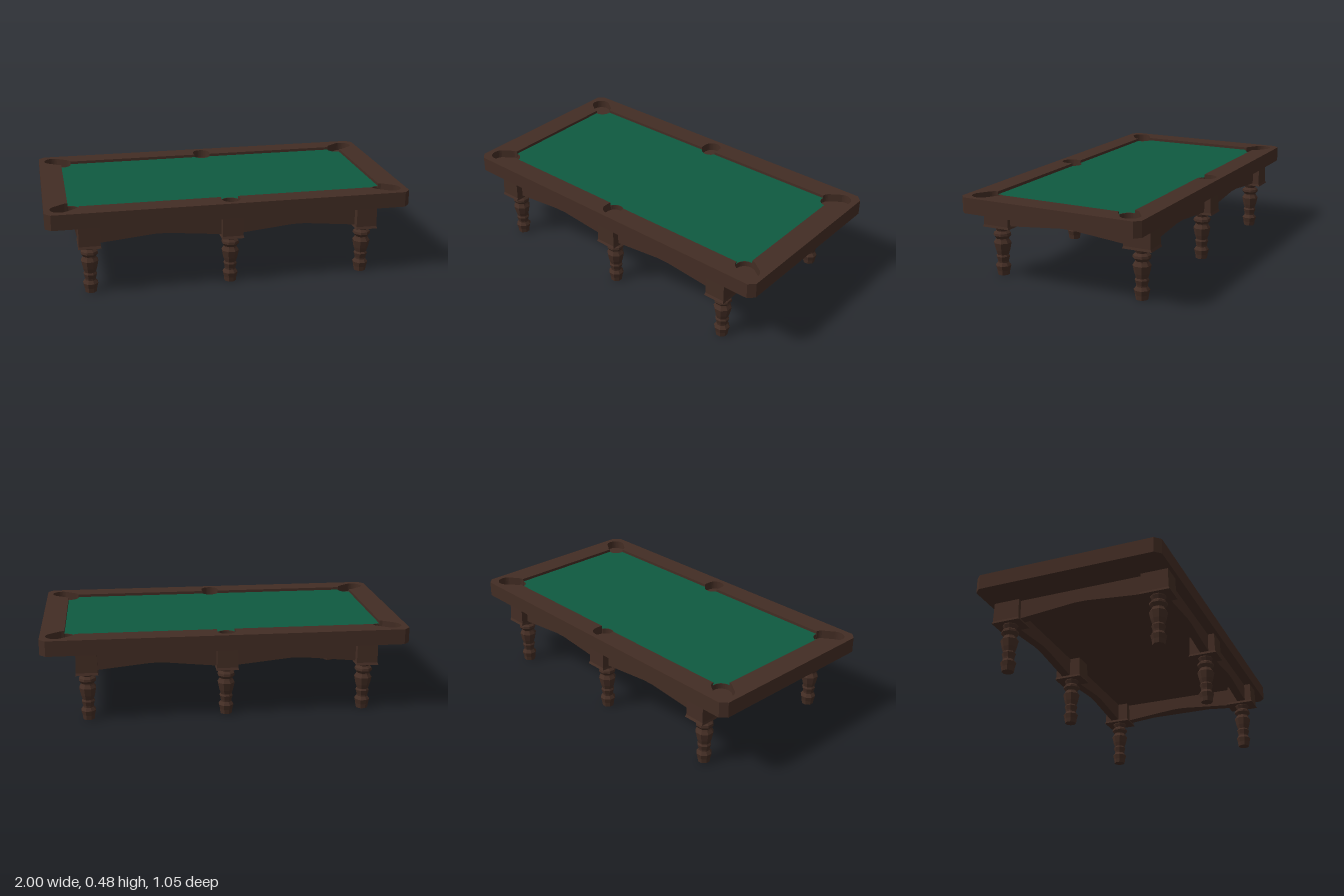
import * as THREE from 'three';

const wood = new THREE.MeshStandardMaterial({ color: 0x432d24 });
wood.name = 'dark wood';
const felt = new THREE.MeshStandardMaterial({ color: 0x0f5a40 });
felt.name = 'green felt';

const FIELD_X = 0.871, FIELD_Z = 0.409;
const LEG_X = [-0.772, 0, 0.757], LEG_Z = [0.432, -0.42];

// Extrudes a plan outline upward from y0 to y1
function slab(shape, y0, y1) {
  const g = new THREE.ExtrudeGeometry(shape, { depth: y1 - y0, bevelEnabled: false });
  return g.rotateX(-Math.PI / 2).translate(0, y0, 0);
}

function faceted(geometry) {
  const g = geometry.index ? geometry.toNonIndexed() : geometry;
  g.computeVertexNormals();
  return g;
}

// Counterclockwise capsule outline between two circle centres (b is the outer one)
function capsule(a, b, r) {
  const dir = Math.atan2(b.y - a.y, b.x - a.x), pts = [], n = 36;
  for (let i = 0; i <= n; i++) {
    const t = dir + Math.PI + (i / n) * Math.PI * 2;
    const c = Math.cos(t - dir) > 0 ? b : a;
    pts.push(new THREE.Vector2(c.x + r * Math.cos(t), c.y + r * Math.sin(t)));
  }
  return pts;
}

// The six pockets, counterclockwise from the +x +y corner
function pockets() {
  const V = (x, y) => new THREE.Vector2(x, y);
  const corner = (sx, sy) => capsule(V(0.865 * sx, 0.402 * sy), V(0.915 * sx, 0.437 * sy), 0.053);
  const side = (sy) => capsule(V(0, 0.432 * sy), V(0, 0.448 * sy), 0.051);
  return [corner(1, 1), side(1), corner(-1, 1), corner(-1, -1), side(-1), corner(1, -1)];
}

const isOutside = (p) => Math.abs(p.x) > FIELD_X || Math.abs(p.y) > FIELD_Z;

// Moves the end of a pocket arc onto the edge of the playing field
function snap(p) {
  if (Math.abs(p.x) > FIELD_X - 0.015) p.x = Math.sign(p.x) * FIELD_X;
  else p.y = Math.sign(p.y) * FIELD_Z;
}

// Playing field outline, either widened or notched by the pockets
function fieldOutline(widened) {
  const out = [];
  for (const loop of pockets()) {
    let run = loop.filter(isOutside);
    const first = run[0], last = run[run.length - 1];
    for (const p of [first, last]) {
      if (Math.abs(p.x) > FIELD_X && Math.abs(p.y) <= FIELD_Z) p.x = Math.sign(p.x) * FIELD_X;
      else snap(p);
    }
    if (!widened) {
      // the inner arc is walked backward
      const i0 = loop.indexOf(first), i1 = loop.indexOf(last);
      const head = loop.slice(0, i0 + 1).reverse();
      const tail = loop.slice(i1, loop.length - 1).reverse();
      run = [...head, ...tail];
    }
    out.push(...run);
  }
  return out;
}

// Rectangle with cut corners
function tableOutline() {
  const s = new THREE.Shape(), X = 1, Z = 0.527, c = 0.033;
  [[X, c - Z], [X, Z - c], [X - c, Z], [c - X, Z], [-X, Z - c], [-X, c - Z], [c - X, -Z], [X - c, -Z]]
    .forEach(([x, y], i) => (i ? s.lineTo(x, y) : s.moveTo(x, y)));
  return s;
}

// Square block above each leg, flared at the foot
function blockGeometry() {
  const g = new THREE.BoxGeometry(2, 2, 2, 1, 2, 1), p = g.attributes.position;
  const levels = [[0.275, 0.061, 0.083], [0.288, 0.058, 0.077], [0.4, 0.056, 0.074]];
  for (let i = 0; i < p.count; i++) {
    const [y, hx, hz] = levels[Math.round(p.getY(i)) + 1];
    p.setXYZ(i, p.getX(i) * hx, y, p.getZ(i) * hz);
  }
  return faceted(g);
}

// Turned leg with eight sides
function legGeometry() {
  const profile = [[0, 0], [0.033, 0], [0.036, 0.025], [0.043, 0.052], [0.03, 0.07], [0.031, 0.08],
    [0.038, 0.105], [0.032, 0.115], [0.04, 0.14], [0.049, 0.183], [0.038, 0.2], [0.035, 0.207],
    [0.049, 0.225], [0.047, 0.238], [0.032, 0.25], [0.042, 0.27], [0.042, 0.285]];
  const g = new THREE.LatheGeometry(profile.map(([x, y]) => new THREE.Vector2(x, y)), 8);
  return faceted(g.rotateY(Math.PI / 8));
}

// Apron board with a shallow peaked arch along its lower edge
function apronGeometry(length) {
  const h = length / 2, s = new THREE.Shape();
  s.moveTo(-h, 0.4);
  s.lineTo(-h, 0.288);
  s.lineTo(-0.035, 0.319);
  s.lineTo(0.035, 0.319);
  s.lineTo(h, 0.288);
  s.lineTo(h, 0.4);
  return new THREE.ExtrudeGeometry(s, { depth: 0.05, bevelEnabled: false }).translate(0, 0, -0.025);
}

export function createModel() {
  const model = new THREE.Group();
  model.name = 'billiardTable';
  const add = (name, geometry, material, x = 0, z = 0, turn = 0) => {
    const m = new THREE.Mesh(geometry, material);
    m.name = name;
    m.position.set(x, 0, z);
    m.rotation.y = turn;
    model.add(m);
  };

  // Table body: base, rails around the field, bed and cloth
  add('tableBase', slab(tableOutline(), 0.397, 0.435), wood);
  const rails = tableOutline();
  rails.holes.push(new THREE.Path(fieldOutline(true)));
  add('rails', slab(rails, 0.435, 0.482), wood);
  const field = new THREE.Shape(fieldOutline(false));
  add('bed', slab(field, 0.435, 0.464), wood);
  add('cloth', new THREE.ShapeGeometry(field).rotateX(-Math.PI / 2).translate(0, 0.466, 0), felt);

  // Six legs with their blocks
  const block = blockGeometry(), leg = legGeometry();
  for (const z of LEG_Z) {
    for (const x of LEG_X) {
      add('legBlock', block, wood, x, z);
      add('leg', leg, wood, x, z);
    }
  }

  // Arched aprons between the blocks
  for (const z of LEG_Z) {
    for (let i = 0; i < 2; i++) {
      const a = LEG_X[i], b = LEG_X[i + 1];
      add('sideApron', apronGeometry(b - a - 0.08), wood, (a + b) / 2, z + Math.sign(z) * 0.012);
    }
  }
  for (const x of [LEG_X[0], LEG_X[2]]) {
    add('endApron', apronGeometry(0.73), wood, x + Math.sign(x) * 0.008, 0.006, Math.PI / 2);
  }
  return model;
}
